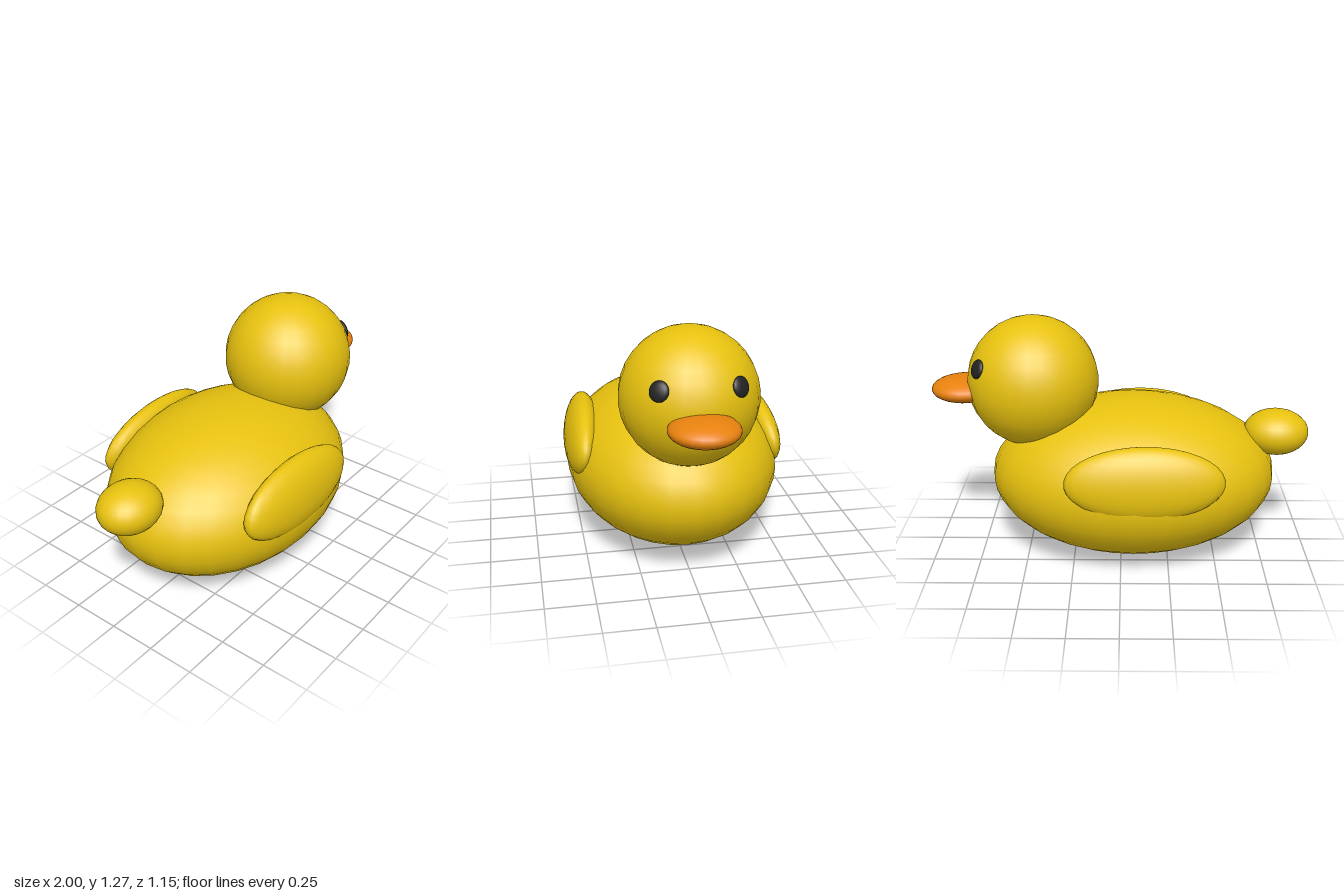
import * as THREE from 'three';

const material = (name, color) => {
  const m = new THREE.MeshStandardMaterial({ color });
  m.name = name;
  return m;
};

export function createModel() {
  const duck = new THREE.Group();
  duck.name = 'duck';

  const yellow = material('yellow', 0xeac40f);
  const orange = material('orange', 0xe8820e);
  const black = material('black', 0x222222);

  // Every part is a smooth ellipsoid with its own radii
  function ellipsoid(name, mat, center, radii, segments = 24) {
    const geometry = new THREE.SphereGeometry(1, segments, Math.round(segments * 0.7));
    geometry.scale(...radii);
    const mesh = new THREE.Mesh(geometry, mat);
    mesh.name = name;
    mesh.position.set(...center);
    duck.add(mesh);
    return mesh;
  }

  ellipsoid('body', yellow, [-0.065, 0.422, 0], [0.757, 0.42, 0.562], 28);
  const head = ellipsoid('head', yellow, [0.463, 0.932, 0], [0.344, 0.344, 0.344]);
  ellipsoid('tail', yellow, [-0.827, 0.648, 0], [0.173, 0.122, 0.153]);
  ellipsoid('bill', orange, [0.825, 0.89, 0], [0.173, 0.066, 0.17]);

  for (const side of [1, -1]) {
    const prefix = side > 0 ? 'left' : 'right';

    // Wings lean in at the top and toward the tail
    const wing = ellipsoid(prefix + 'Wing', yellow, [-0.12, 0.55, side * 0.48], [0.402, 0.188, 0.092]);
    wing.rotation.set(-0.15 * side, -0.04 * side, 0);

    // Flattened eyes lie on the head surface, facing outward
    const outward = new THREE.Vector3(0.262, 0.118, side * 0.19).setLength(0.342);
    const center = head.position.clone().add(outward);
    const eye = ellipsoid(prefix + 'Eye', black, center.toArray(), [0.05, 0.05, 0.02], 16);
    eye.quaternion.setFromUnitVectors(new THREE.Vector3(0, 0, 1), outward.normalize());
  }
  return duck;
}
